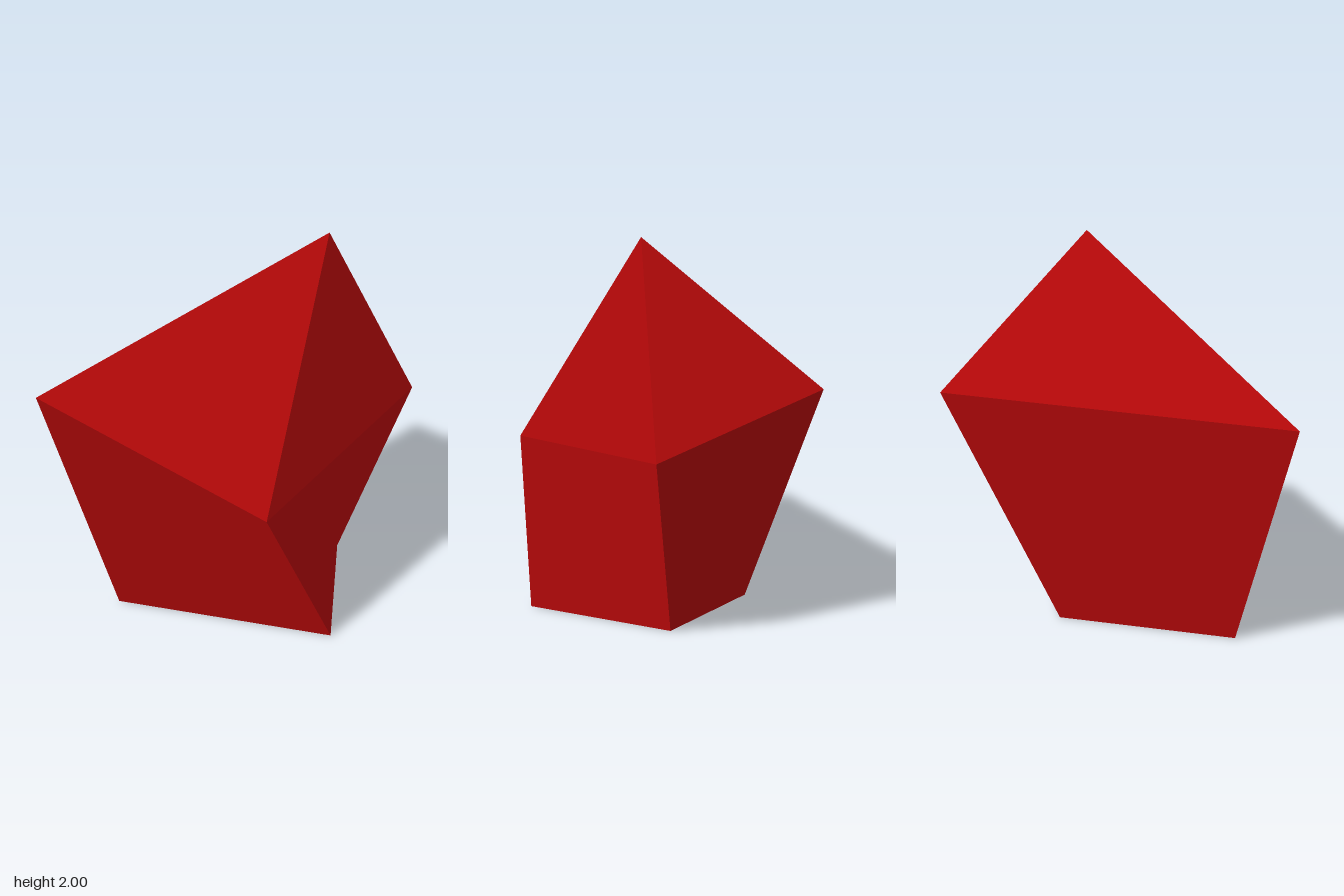
import * as THREE from 'three';

// Faceted shard: a four-sided base ring, a wider upper ring and an off-centre peak.
export function createModel() {
  const group = new THREE.Group();
  group.name = 'shard';

  const red = new THREE.MeshStandardMaterial({ color: 0xb20809 });
  red.name = 'deep red';

  // Rings run counter-clockwise when seen from above
  const base = [[-0.48, 0, 0.65], [0.675, 0, 0.48], [0.43, 0, -0.305], [-0.214, 0, -0.275]];
  const upper = [[-0.755, 1.31, 0.873], [0.437, 0.845, 0.795], [0.755, 1, -0.51], [-0.065, 1.275, -0.873]];
  const peak = [0.4, 2, -0.09];

  // Each facet has three or four corners and one shared normal;
  // a four-cornered facet folds between its second and fourth corner.
  function addFacets(name, facets) {
    const positions = [];
    const normals = [];
    for (const facet of facets) {
      const [a, b, c, d = a] = facet.map((p) => new THREE.Vector3(...p));
      const normal = c.clone().sub(a).cross(d.clone().sub(b)).normalize();
      const corners = facet.length === 4 ? [a, b, d, b, c, d] : [a, b, c];
      for (const corner of corners) {
        positions.push(...corner.toArray());
        normals.push(...normal.toArray());
      }
    }
    const geometry = new THREE.BufferGeometry();
    geometry.setAttribute('position', new THREE.Float32BufferAttribute(positions, 3));
    geometry.setAttribute('normal', new THREE.Float32BufferAttribute(normals, 3));
    const mesh = new THREE.Mesh(geometry, red);
    mesh.name = name;
    group.add(mesh);
  }

  const crown = [];
  const sides = [];
  for (let i = 0; i < 4; i++) {
    const j = (i + 1) % 4;
    crown.push([upper[i], upper[j], peak]);
    sides.push([base[i], base[j], upper[j], upper[i]]);
  }
  addFacets('crown', crown);
  addFacets('sides', sides);
  addFacets('underside', [[...base].reverse()]);

  return group;
}
